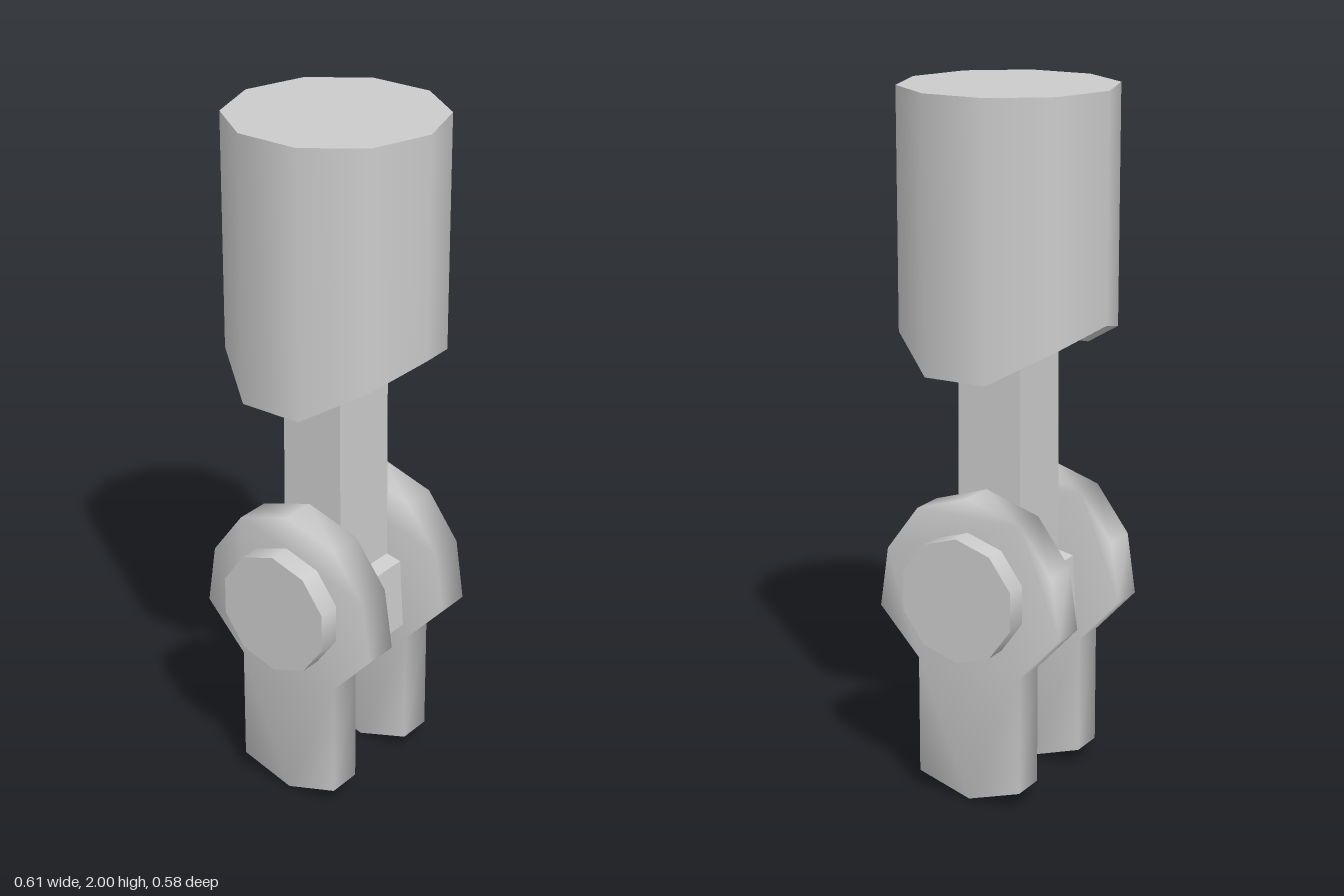
import * as THREE from 'three';
import { mergeVertices } from 'three/addons/utils/BufferGeometryUtils.js';

const material = new THREE.MeshStandardMaterial({ color: 0xcccccc });
const RADIUS = 0.304;
const SIDES = 10;

function addMesh(parent, geometry, name) {
  const mesh = new THREE.Mesh(geometry, material);
  mesh.name = name;
  parent.add(mesh);
  return mesh;
}

// Extrudes an x-symmetric outline, given as its right half from top to bottom
function extrudeMirrored(half, depth) {
  const left = half.filter(([x]) => x > 0).map(([x, y]) => [-x, y]).reverse();
  const shape = new THREE.Shape([...half, ...left].map(([x, y]) => new THREE.Vector2(x, y)));
  return new THREE.ExtrudeGeometry(shape, { depth, bevelEnabled: false })
    .translate(0, 0, -depth / 2);
}

// Shares normals across all edges for a soft, rounded look
function soften(geometry) {
  geometry.deleteAttribute('uv');
  geometry.deleteAttribute('normal');
  const merged = mergeVertices(geometry);
  merged.computeVertexNormals();
  return merged;
}

// Circular arch under the barrel, running along x
const archY = (z) => 1.37 - 0.386 + Math.sqrt(0.386 ** 2 - z * z);

function createBarrel() {
  const barrel = new THREE.Group();
  barrel.name = 'barrel';

  const wall = new THREE.CylinderGeometry(RADIUS, RADIUS, 2, SIDES, 1, true, Math.PI / 2);
  const p = wall.attributes.position;
  for (let i = 0; i < p.count; i++) {
    p.setY(i, p.getY(i) > 0 ? 2 : archY(p.getZ(i)));
  }
  addMesh(barrel, wall, 'barrelWall');

  const top = new THREE.CircleGeometry(RADIUS, SIDES).rotateX(-Math.PI / 2).translate(0, 2, 0);
  addMesh(barrel, top, 'barrelTop');

  // Underside: strips spanning opposite corners of the wall
  const under = new THREE.PlaneGeometry(2, 2, 1, 4);
  const u = under.attributes.position;
  for (let i = 0; i < u.count; i++) {
    const angle = u.getY(i) * Math.PI * 0.4;
    const z = RADIUS * Math.sin(angle);
    u.setXYZ(i, u.getX(i) * RADIUS * Math.cos(angle), archY(z), z);
  }
  under.computeVertexNormals();
  addMesh(barrel, under, 'barrelUnderside');
  return barrel;
}

export function createModel() {
  const model = new THREE.Group();
  model.name = 'swivelLink';
  model.add(createBarrel());

  // Central stem with its widened foot between the plates
  const stem = extrudeMirrored(
    [[0.095, 1.38], [0.1, 0.667], [0.147, 0.657], [0.16, 0.45], [0, 0.39]], 0.22);
  addMesh(model, stem, 'stem');

  // Two link plates, each with a bolt head on its outer face
  const plate = soften(extrudeMirrored(
    [[0, 0.895], [0.163, 0.843], [0.262, 0.71], [0.288, 0.535],
      [0.163, 0.4], [0.163, 0.055], [0, 0.003]], 0.103));
  const bolt = new THREE.CylinderGeometry(0.18, 0.18, 0.08, SIDES).rotateX(Math.PI / 2);
  for (const side of [1, -1]) {
    const name = side > 0 ? 'front' : 'back';
    addMesh(model, plate, name + 'Plate').position.z = side * 0.174;
    addMesh(model, bolt, name + 'Bolt').position.set(0, 0.618, side * 0.251);
  }
  return model;
}
